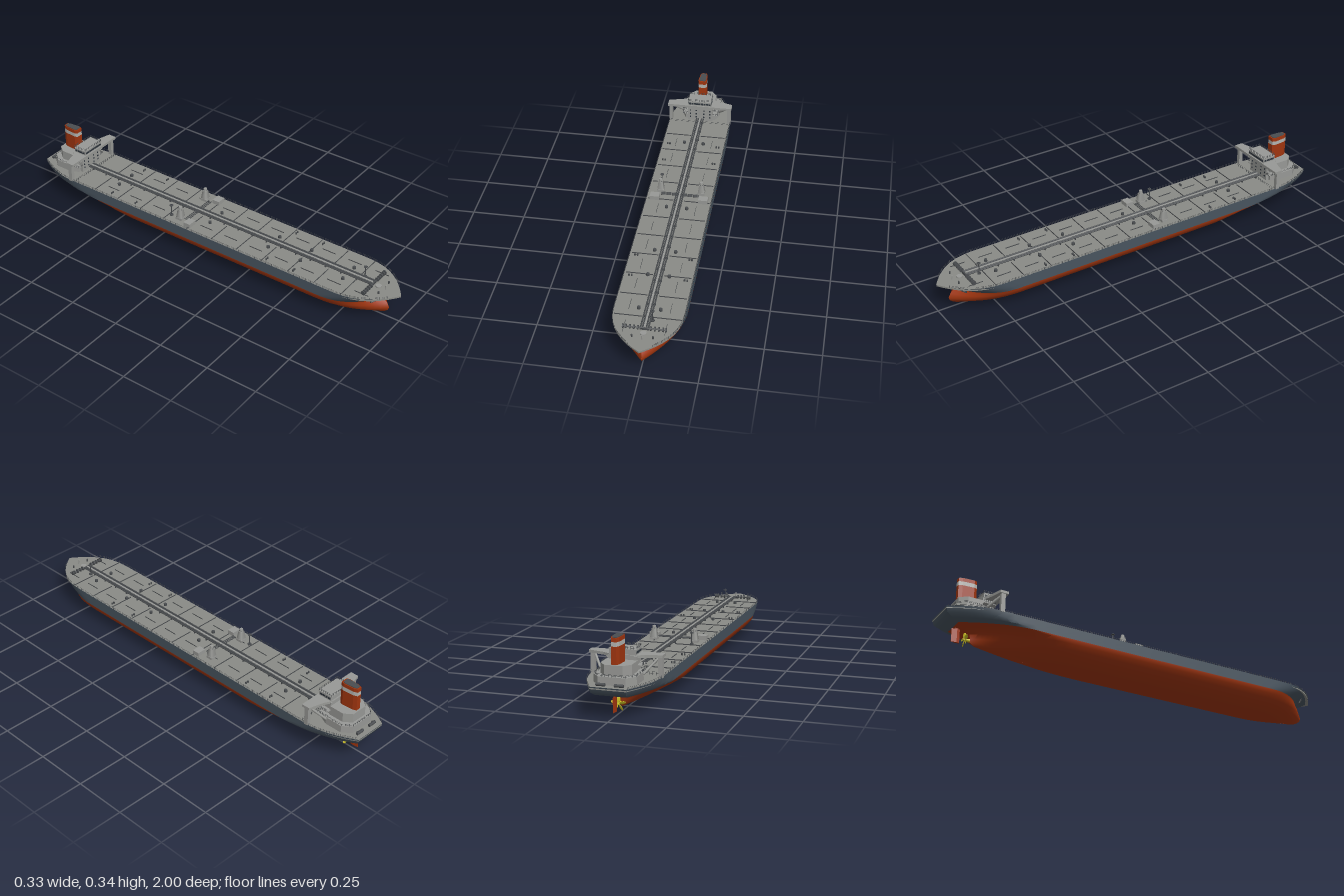
import * as THREE from 'three';
import { mergeGeometries, toCreasedNormals } from 'three/addons/utils/BufferGeometryUtils.js';

const material = (name, color, side = THREE.FrontSide) => {
  const m = new THREE.MeshStandardMaterial({ color, side });
  m.name = name;
  return m;
};

// Hull levels: y, half beam, stern z, stern half-width ratio, stern taper, bow z, bow taper, bow power
const LOWER = [
  [0.000, 0.000, -0.58, 0, 0.40, 0.82, 0.30, 2.0],
  [0.003, 0.032, -0.62, 0, 0.42, 0.86, 0.30, 2.0],
  [0.012, 0.068, -0.75, 0, 0.50, 0.905, 0.32, 2.2],
  [0.022, 0.092, -0.83, 0.02, 0.55, 0.925, 0.32, 2.4],
  [0.035, 0.114, -0.85, 0.03, 0.52, 0.94, 0.32, 2.5],
  [0.050, 0.133, -0.85, 0.03, 0.46, 0.945, 0.32, 2.5],
  [0.070, 0.150, -0.855, 0.06, 0.40, 0.935, 0.30, 2.5],
  [0.084, 0.156, -0.88, 0.18, 0.34, 0.92, 0.28, 2.5],
  [0.091, 0.157, -0.93, 0.36, 0.32, 0.915, 0.26, 2.5],
];
const UPPER = [
  LOWER[8],
  [0.100, 0.157, -0.965, 0.44, 0.28, 0.925, 0.25, 2.5],
  [0.115, 0.157, -0.99, 0.49, 0.24, 0.95, 0.25, 2.6],
  [0.143, 0.157, -1, 0.51, 0.22, 1, 0.28, 2.7],
];
const DECK = 0.14;

function halfBeam([, w, zs, ws, ls, zb, lb, p], z) {
  const s = Math.min(1, Math.max(0, (z - zs) / ls));
  const b = Math.min(1, Math.max(0, (zb - z) / lb));
  return w * (ws + (1 - ws) * (1 - (1 - s) ** 1.75)) * (1 - (1 - b) ** p);
}

// Closed waterline: up the left side from stern to bow, back down the right
function ring(level, n = 48) {
  const side = [];
  for (let i = 0; i <= n; i++) {
    const z = level[2] + (level[5] - level[2]) * (0.5 - 0.5 * Math.cos(Math.PI * i / n));
    side.push([halfBeam(level, z), z]);
  }
  return [...side, ...side.map(([x, z]) => [-x, z]).reverse()];
}

function loft(levels) {
  const pos = [], idx = [];
  const rings = levels.map(l => ring(l)), m = rings[0].length;
  rings.forEach((r, j) => r.forEach(([x, z]) => pos.push(x, levels[j][0], z)));
  for (let j = 0; j < levels.length - 1; j++) for (let i = 0; i < m; i++) {
    const a = j * m + i, b = j * m + (i + 1) % m, c = a + m, d = b + m;
    idx.push(a, c, b, b, c, d);
  }
  const g = new THREE.BufferGeometry();
  g.setAttribute('position', new THREE.Float32BufferAttribute(pos, 3));
  g.setIndex(idx);
  // enlarged while creasing so that close vertices stay distinct
  g.scale(100, 100, 100);
  return toCreasedNormals(g, 0.7).scale(0.01, 0.01, 0.01);
}

const box = (w, h, d, x, y, z) => new THREE.BoxGeometry(w, h, d).translate(x, y, z);
const post = (r0, r1, h, x, y, z, n = 8) => new THREE.CylinderGeometry(r1, r0, h, n).translate(x, y + h / 2, z);

// Straight bar between two points
function bar(a, b, r = 0.001, n = 4) {
  const p = new THREE.Vector3(...a), d = new THREE.Vector3(...b).sub(p);
  const q = new THREE.Quaternion().setFromUnitVectors(new THREE.Vector3(0, 1, 0), d.clone().normalize());
  return new THREE.CylinderGeometry(r, r, d.length(), n).applyQuaternion(q)
    .translate(p.x + d.x / 2, p.y + d.y / 2, p.z + d.z / 2);
}

// Vertical prism over a plan outline of [x, z] points
function prism(points, y0, y1) {
  const s = new THREE.Shape(points.map(([x, z]) => new THREE.Vector2(x, -z)));
  return new THREE.ExtrudeGeometry(s, { depth: y1 - y0, bevelEnabled: false }).rotateX(-Math.PI / 2).translate(0, y0, 0);
}
const mirrored = half => [...half, ...half.map(([x, z]) => [-x, z]).reverse()];

// Guard rail along [x, z] points
function rail(points, y, h, step = 0.015) {
  const out = [];
  for (let i = 0; i < points.length - 1; i++) {
    const [x0, z0] = points[i], [x1, z1] = points[i + 1];
    for (const k of [0.5, 1]) out.push(bar([x0, y + h * k, z0], [x1, y + h * k, z1], 0.0006));
    const n = Math.max(1, Math.round(Math.hypot(x1 - x0, z1 - z0) / step));
    for (let j = 0; j <= n; j++) out.push(box(0.0012, h, 0.0012, x0 + (x1 - x0) * j / n, y + h / 2, z0 + (z1 - z0) * j / n));
  }
  return out;
}

export function createModel() {
  const root = new THREE.Group();
  const red = material('red', 0xa0350f), blue = material('slate hull', 0x48545f);
  const deckGrey = material('deck grey', 0x8a8b86), grey = material('house grey', 0x989996);
  const dark = material('dark fittings', 0x4a4d50), glass = material('window', 0x2e353d);
  const pale = material('funnel band', 0xb4b4b0), yellow = material('yellow', 0xc9bd22);
  const add = (name, mat, geos) => {
    const list = geos.map(g => (g.index ? g.toNonIndexed() : g));
    list.forEach(g => g.deleteAttribute('uv'));
    const mesh = new THREE.Mesh(mergeGeometries(list), mat);
    mesh.name = name;
    root.add(mesh);
  };
  const SIDES = [-1, 1];

  // Hull and deck
  add('lowerHull', red, [loft(LOWER)]);
  add('upperHull', blue, [loft(UPPER)]);
  const top = UPPER[3];
  add('deck', deckGrey, [prism(ring(top).filter(([x, z], i, a) => !i || Math.hypot(x - a[i - 1][0], z - a[i - 1][1]) > 1e-5)
    .map(([x, z]) => [x * 0.985, z * 0.998]), 0.132, DECK)]);

  // Rail around the deck edge
  const edge = [];
  for (let z = -0.99; z < 0.99; z += 0.03) edge.push([halfBeam(top, z) * 0.985, z]);
  add('deckRail', dark, SIDES.flatMap(s => rail(edge.map(([x, z]) => [s * x, z]), DECK, 0.011, 0.03)));

  // Central pipe run with its supports
  const pipes = [-0.017, -0.008, 0.008, 0.017].map(x => bar([x, 0.15, -0.77], [x, 0.15, 0.86], 0.0035, 8));
  for (let z = -0.74; z < 0.86; z += 0.08) pipes.push(box(0.042, 0.01, 0.004, 0, 0.144, z));
  add('pipeRun', dark, pipes);
  add('catwalk', grey, [box(0.008, 0.002, 1.62, 0, 0.153, 0.045)]);
  add('manifold', dark, [-0.108, -0.1, -0.092].map(z => bar([-0.09, 0.149, z], [0.09, 0.149, z], 0.0022, 6)));

  // Deck stiffeners and long thin side lines
  const ribs = [];
  for (let z = -0.62; z < 0.8; z += 0.14) for (const s of SIDES) {
    ribs.push(box(0.122, 0.005, 0.0015, s * 0.086, 0.142, z));
    ribs.push(box(0.0012, 0.004, 0.07, s * 0.09, 0.142, z + 0.07));
  }
  add('deckRibs', dark, ribs);

  // Hatches and vents
  const hatches = [];
  for (const s of SIDES) {
    for (const z of [-0.55, 0, 0.33, 0.505, 0.73]) hatches.push(post(0.008, 0.008, 0.011, s * 0.048, DECK, z));
    for (const z of [-0.53, -0.385, 0.375, 0.52]) for (const x of [0.118, 0.13]) hatches.push(post(0.004, 0.004, 0.009, s * x, DECK, z));
  }
  add('hatches', dark, hatches);

  // Midship hose towers and lockers
  for (const s of SIDES) {
    const tower = new THREE.CylinderGeometry(0.014, 0.024, 0.052, 4, 1).rotateY(Math.PI / 4).translate(s * 0.098, 0.166, -0.135);
    add('hoseTower', grey, [tower, post(0.01, 0.008, 0.016, s * 0.098, 0.19, -0.135), box(0.034, 0.012, 0.034, s * 0.098, 0.146, -0.135)]);
    add('towerCap', dark, [box(0.012, 0.004, 0.016, s * 0.098, 0.194, -0.135)]);
    add('locker', grey, [box(0.045, 0.02, 0.036, s * 0.116, 0.15, -0.07)]);
  }

  // Signal masts
  for (const [x, z] of [[0.025, 0.8], [-0.1, -0.187]])
    add('signalMast', dark, [post(0.003, 0.002, 0.062, x, DECK, z, 6), post(0.009, 0.009, 0.003, x, 0.194, z), post(0.009, 0.009, 0.006, x, DECK, z)]);

  // Bow mooring gear
  const gear = [bar([-0.095, 0.15, 0.86], [0.095, 0.15, 0.86], 0.003, 8)];
  for (const s of SIDES) {
    for (const x of [0.028, 0.045, 0.062, 0.08, 0.092]) gear.push(bar([s * x - 0.003, 0.15, 0.86], [s * x + 0.003, 0.15, 0.86], 0.01, 10));
    gear.push(post(0.004, 0.004, 0.012, s * 0.045, DECK, 0.91), post(0.004, 0.004, 0.012, s * 0.05, DECK, -0.965));
    gear.push(bar([s * 0.02, 0.148, -0.972], [s * 0.06, 0.148, -0.972], 0.007, 8));
  }
  add('windlass', dark, gear);
  add('bowPost', grey, [post(0.014, 0.014, 0.006, 0, DECK, 0.885, 12), post(0.004, 0.003, 0.022, 0, DECK, 0.92)]);

  // Anchors against the bow
  for (const s of SIDES) {
    const z = 0.897, x = s * 0.066;
    add('anchor', dark, [bar([x, 0.122, z + 0.012], [x - s * 0.012, 0.102, z + 0.004], 0.004, 6),
      bar([x - s * 0.02, 0.106, z + 0.01], [x + s * 0.006, 0.1, z - 0.008], 0.004, 6),
      bar([x + s * 0.006, 0.1, z - 0.008], [x + s * 0.014, 0.12, z], 0.003, 6)]);
  }

  // Deckhouse tiers
  add('lowerHouse', grey, [prism(mirrored([[0.06, -0.95], [0.094, -0.91], [0.094, -0.825], [0.075, -0.785]]), DECK, 0.175)]);
  add('upperHouse', grey, [prism(mirrored([[0.04, -0.93], [0.068, -0.895], [0.068, -0.82]]), 0.175, 0.22)]);
  add('frontHouse', grey, [box(0.128, 0.095, 0.055, 0, 0.1875, -0.7975)]);
  add('bridge', grey, [box(0.118, 0.027, 0.068, 0, 0.2485, -0.785), box(0.122, 0.003, 0.072, 0, 0.262, -0.785)]);
  const panes = [];
  for (const x of [-0.05, -0.02, 0.02, 0.05]) for (let r = 0; r < 4; r++) panes.push(box(0.007, 0.007, 0.003, x, 0.16 + r * 0.019, -0.77));
  for (let i = 0; i < 9; i++) panes.push(box(0.0105, 0.009, 0.003, -0.05 + i * 0.0125, 0.25, -0.751));
  for (const s of SIDES) for (let i = 0; i < 4; i++) panes.push(box(0.003, 0.009, 0.012, s * 0.059, 0.25, -0.763 - i * 0.015));
  add('windows', glass, panes);

  // Bridge wings, legs and braces
  add('bridgeWings', grey, [prism(mirrored([[0.05, -0.825], [0.09, -0.805], [0.163, -0.785], [0.163, -0.745]]), 0.228, 0.24)]);
  for (const s of SIDES) {
    add('wingLeg', grey, [box(0.018, 0.09, 0.02, s * 0.15, 0.184, -0.768)]);
    add('wingBrace', grey, [bar([s * 0.142, 0.226, -0.768], [s * 0.092, 0.165, -0.825], 0.006, 6),
      bar([s * 0.1, 0.23, -0.775], [s * 0.066, 0.205, -0.79], 0.003, 6)]);
    add('sidePlatform', grey, [0.172, 0.2].map(y => box(0.026, 0.003, 0.055, s * 0.076, y, -0.8)));
    add('platformRail', dark, [0.173, 0.201].flatMap(y => rail([[s * 0.064, -0.773], [s * 0.089, -0.773], [s * 0.089, -0.827]], y, 0.011, 0.009)));
  }
  add('bridgeRail', dark, rail([[-0.059, -0.819], [-0.059, -0.751], [0.059, -0.751], [0.059, -0.819], [-0.059, -0.819]], 0.263, 0.012, 0.012));
  add('houseRail', dark, [...rail([[-0.092, -0.83], [-0.092, -0.909], [-0.059, -0.948], [0.059, -0.948], [0.092, -0.909], [0.092, -0.83]], 0.175, 0.01),
    ...rail([[-0.15, -0.74], [-0.025, -0.74]], DECK, 0.014), ...rail([[0.025, -0.74], [0.15, -0.74]], DECK, 0.014)]);

  // Funnel, narrowing aft
  const stack = mirrored([[0.011, -0.922], [0.018, -0.905], [0.022, -0.85], [0.016, -0.836]]);
  add('funnel', red, [prism(stack, 0.22, 0.296), prism(stack, 0.315, 0.332)]);
  add('funnelBand', pale, [prism(stack, 0.296, 0.315)]);
  add('funnelTop', dark, [prism(stack.map(([x, z]) => [x * 0.8, -0.88 + (z + 0.88) * 0.85]), 0.331, 0.335)]);

  // Propeller and rudder
  const blades = [new THREE.CylinderGeometry(0.004, 0.008, 0.034, 10).rotateX(-Math.PI / 2).translate(0, 0.043, -0.868)];
  for (let i = 0; i < 5; i++) blades.push(new THREE.SphereGeometry(1, 10, 6).scale(0.009, 0.015, 0.0018).rotateY(0.6)
    .translate(0, 0.019, 0).rotateZ(i * Math.PI * 0.4).translate(0, 0.043, -0.874));
  add('propeller', yellow, blades);
  add('rudder', red, [prism(mirrored([[0.001, -0.937], [0.005, -0.912], [0.003, -0.899]]), 0.02, 0.084),
    box(0.006, 0.022, 0.014, 0, 0.088, -0.912)]);
  return root;
}
